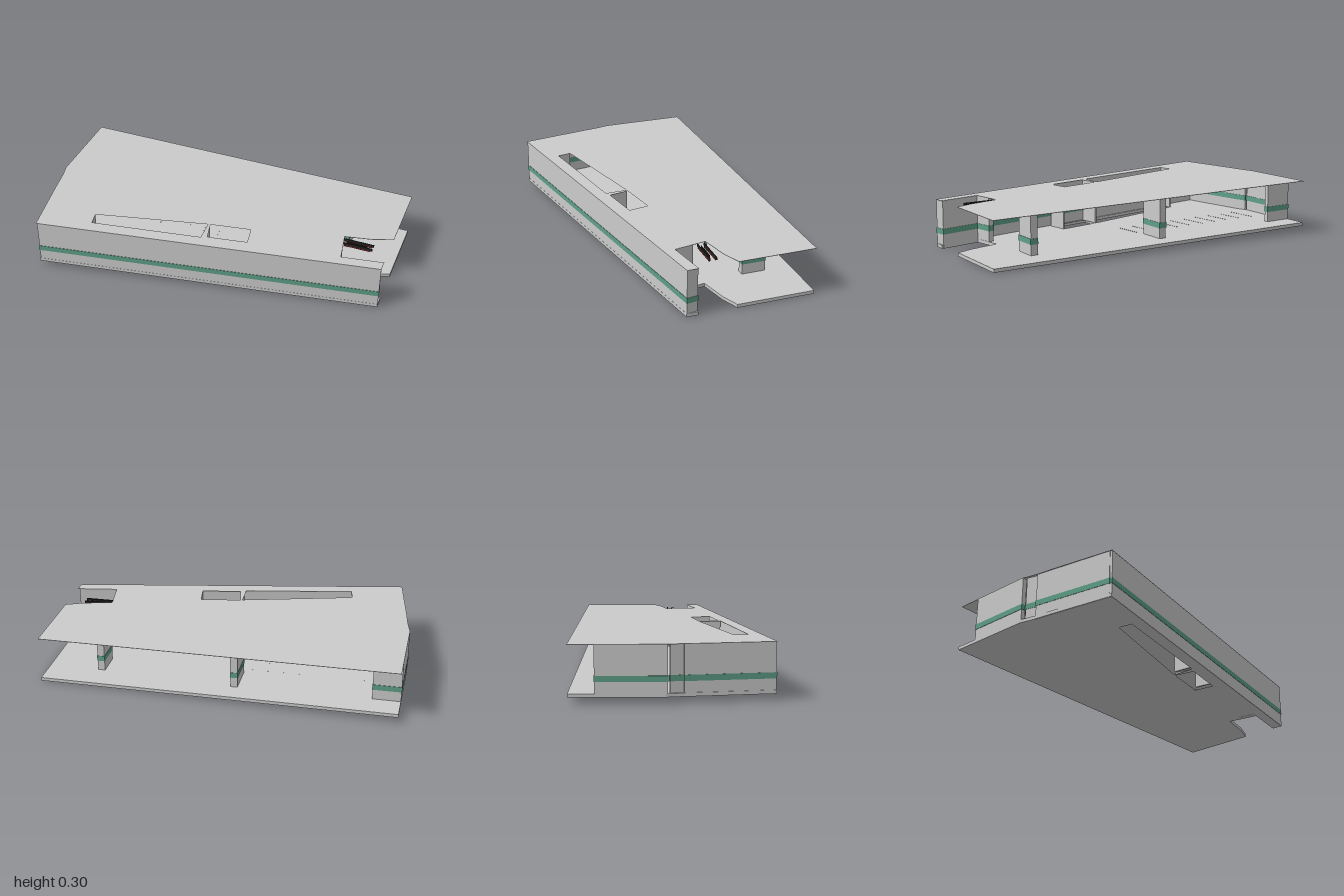
import * as THREE from 'three';

const grey = new THREE.MeshStandardMaterial({ color: 0xcccccc, flatShading: true });
const green = new THREE.MeshStandardMaterial({ color: 0x5f9f88, flatShading: true });
const dark = new THREE.MeshStandardMaterial({ color: 0x222222, flatShading: true });
const red = new THREE.MeshStandardMaterial({ color: 0x8a2a20, flatShading: true });
const white = new THREE.MeshStandardMaterial({ color: 0xf0f0f0, flatShading: true });

const TOP = 0.265; // height of the deck before tilting
const FLOOR = 0.02;

// the whole building rises gently towards -x
function tilt(geometry) {
  const p = geometry.attributes.position;
  for (let i = 0; i < p.count; i++) p.setY(i, p.getY(i) + 0.0165 * (1 - p.getX(i)));
  geometry.computeVertexNormals();
  return geometry;
}

export function createModel() {
  const model = new THREE.Group();
  model.name = 'parkingDeck';

  function add(name, geometry, material, parent = model) {
    const mesh = new THREE.Mesh(tilt(geometry), material);
    mesh.name = name;
    parent.add(mesh);
    return mesh;
  }

  // box running from a to b in plan, centred on that line
  function bar(a, b, thickness, y0, y1) {
    const dx = b[0] - a[0], dz = b[1] - a[1];
    const g = new THREE.BoxGeometry(Math.hypot(dx, dz), y1 - y0, thickness);
    g.rotateY(-Math.atan2(dz, dx));
    g.translate((a[0] + b[0]) / 2, (y0 + y1) / 2, (a[1] + b[1]) / 2);
    return g;
  }

  // wall with a painted band standing slightly proud of it
  function wall(name, a, b, thickness, y0 = FLOOR) {
    const group = new THREE.Group();
    group.name = name;
    model.add(group);
    add(name + 'Body', bar(a, b, thickness, y0, TOP - 0.001), grey, group);
    const dx = b[0] - a[0], dz = b[1] - a[1], k = 0.002 / Math.hypot(dx, dz);
    add(name + 'Band', bar([a[0] - dx * k, a[1] - dz * k], [b[0] + dx * k, b[1] + dz * k],
      thickness + 0.004, 0.078, 0.109), green, group);
  }

  // plan shared by floor and roof: fan-shaped, notched at the entrance, two light wells
  const outline = [[-1, -0.525], [0.99, -0.525], [0.99, -0.09], [0.89, -0.05], [0.73, -0.015],
    [0.76, 0.165], [0.99, 0.125], [0.99, 0.188], [-0.903, 0.517], [-0.965, 0.15],
    [-0.98, 0.05], [-0.988, 0.01], [-1, -0.04]];
  const wells = [
    [[-0.632, 0.318], [-0.01, 0.165], [-0.006, 0.288], [-0.618, 0.393]],
    [[0.003, 0.162], [0.228, 0.122], [0.247, 0.234], [0.027, 0.273]],
  ];
  function slab(name, y0, y1) {
    const points = list => list.map(([x, z]) => new THREE.Vector2(x, -z));
    const shape = new THREE.Shape(points(outline));
    wells.forEach(w => shape.holes.push(new THREE.Path(points(w))));
    const g = new THREE.ExtrudeGeometry(shape, { depth: y1 - y0, bevelEnabled: false });
    g.rotateX(-Math.PI / 2);
    g.translate(0, y0, 0);
    add(name, g, grey);
  }
  slab('floorSlab', 0.001, FLOOR);
  slab('roofSlab', TOP - 0.002, TOP);

  // outer walls
  wall('frontWall', [-0.903, 0.484], [0.985, 0.156], 0.063, 0);
  wall('sideWallFront', [-0.963, 0.05], [-0.89, 0.5], 0.026, 0);
  wall('sideWallBack', [-0.987, -0.39], [-0.987, -0.03], 0.026);
  wall('sideWallLink', [-0.975, -0.02], [-0.955, 0.06], 0.016);
  wall('backCornerWall', [-0.998, -0.38], [-0.845, -0.38], 0.025);
  wall('entranceWall', [0.725, 0.06], [0.745, 0.17], 0.03, 0);

  // supports near the open back
  wall('rightPier', [0.685, -0.375], [0.685, -0.24], 0.04);
  wall('middlePier', [-0.09, -0.415], [-0.09, -0.25], 0.04);

  // thin cross walls at the light wells
  add('wellDivider', bar([-0.004, 0.165], [0.01, 0.285], 0.01, FLOOR, TOP - 0.001), grey);
  add('wellEndWall', bar([0.234, 0.122], [0.253, 0.234], 0.01, FLOOR, TOP - 0.001), grey);
  add('wellSideWall', bar([-0.638, 0.318], [-0.624, 0.393], 0.01, FLOOR, TOP - 0.001), grey);

  // painted bay lines on the floor
  for (let i = 0; i < 10; i++) {
    const x = -0.87 + i * 0.09;
    add('bayLine', bar([x, -0.21], [x + 0.02, -0.04], 0.005, FLOOR, FLOOR + 0.001), white);
  }

  // ceiling lamps along the back
  for (const x of [0.82, 0.53, 0.09, -0.33, -0.73]) {
    add('ceilingLamp', bar([x - 0.06, -0.295], [x + 0.06, -0.295], 0.012, 0.248, 0.254), dark);
  }

  // height bars hanging over the entrance
  for (const [z, x0, x1] of [[-0.008, 0.73, 0.9], [0.018, 0.755, 0.865], [0.028, 0.73, 0.9]]) {
    add('heightBar', bar([x0, z], [x1, z], 0.005, 0.244, 0.258), dark);
    add('heightBarStripe', bar([x0 + 0.01, z], [x1 - 0.01, z], 0.006, 0.237, 0.244), red);
  }
  add('entranceSign', bar([0.7, -0.022], [0.73, -0.022], 0.004, 0.21, 0.25), green);

  return model;
}
